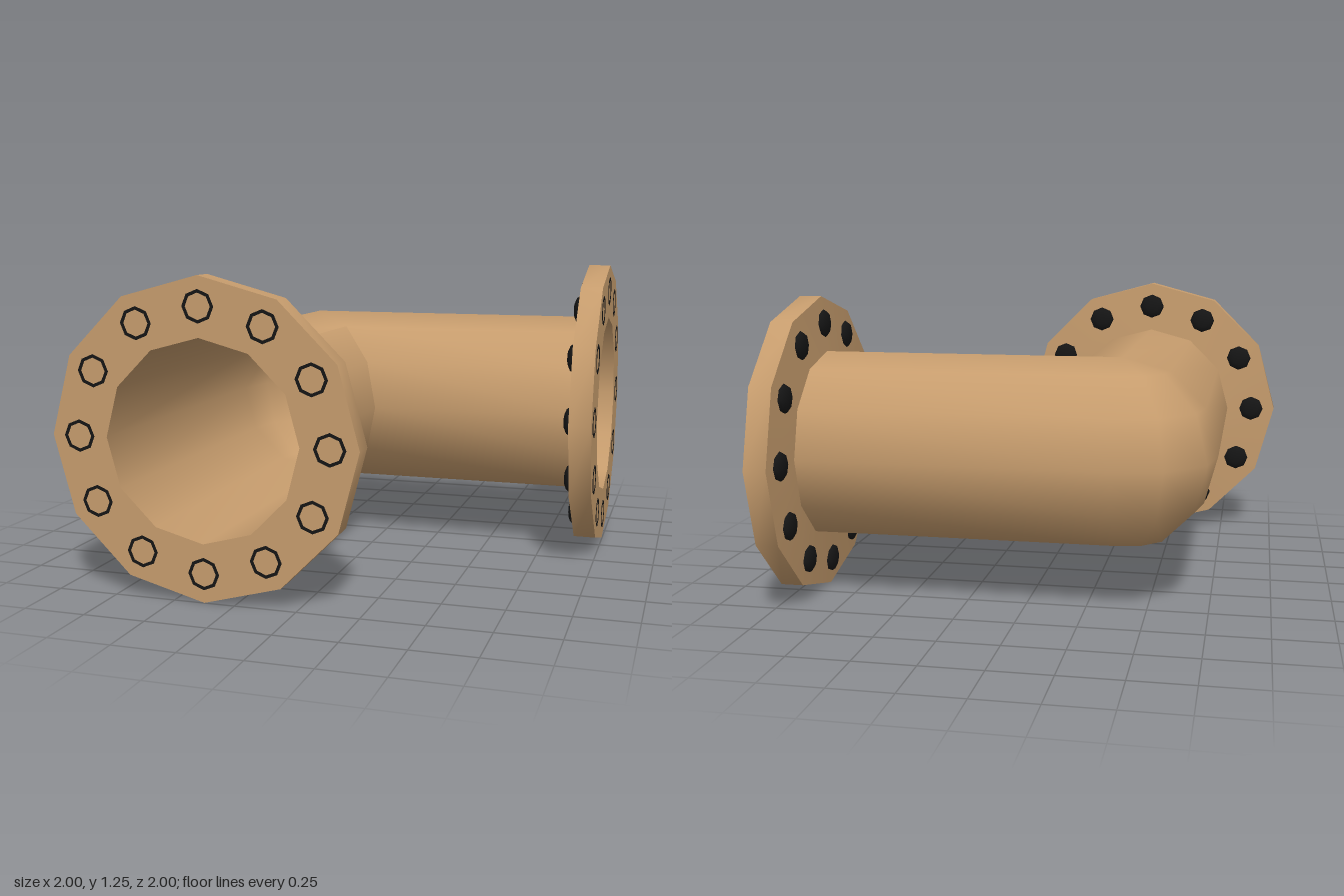
import * as THREE from 'three';
import { toCreasedNormals } from 'three/addons/utils/BufferGeometryUtils.js';

const SIDES = 12;
const PIPE_R = 0.395, FLANGE_R = 0.627, BOLT_CIRCLE = 0.512;
const AXIS = -0.375; // both arms lie this far off centre

const brass = new THREE.MeshStandardMaterial({ color: 0xc69c6d, side: THREE.DoubleSide });
const black = new THREE.MeshStandardMaterial({ color: 0x151515 });

// Elbow pipe: mitred on the inside of the bend, rounded on the outside
function pipeGeometry() {
  const bend = [[1, 0], [0.911, 0.511], [0.511, 0.911], [0, 1]];
  const ring = (place) => Array.from({ length: SIDES + 1 }, (_, i) => {
    const a = (i % SIDES) / SIDES * Math.PI * 2;
    const out = PIPE_R * Math.cos(a);
    const [x, z] = place(out);
    return new THREE.Vector3(x, FLANGE_R + PIPE_R * Math.sin(a), z);
  });
  const rings = [
    ring((out) => [AXIS - out, 0.998]),
    ...bend.map(([a, b]) => ring((out) => (out > 1e-6
      ? [AXIS - out * a, AXIS - out * b]
      : [AXIS - out, AXIS - out]))),
    ring((out) => [0.998, AXIS - out]),
  ];
  const pos = [];
  const tri = (a, b, c) => {
    const area = b.clone().sub(a).cross(c.clone().sub(a)).length();
    if (area > 1e-6) for (const p of [a, b, c]) pos.push(p.x, p.y, p.z);
  };
  for (let s = 0; s < rings.length - 1; s++) {
    for (let i = 0; i < SIDES; i++) {
      const a = rings[s][i], b = rings[s][i + 1];
      const c = rings[s + 1][i + 1], d = rings[s + 1][i];
      tri(a, b, c);
      tri(a, c, d);
    }
  }
  const g = new THREE.BufferGeometry();
  g.setAttribute('position', new THREE.Float32BufferAttribute(pos, 3));
  return toCreasedNormals(g, 0.9);
}

// Geometry turned about y, laid along z
function latheZ(points, sides, crease) {
  const g = new THREE.LatheGeometry(points.map(([r, h]) => new THREE.Vector2(r, h)), sides);
  g.rotateX(Math.PI / 2);
  return toCreasedNormals(g, crease);
}

// Flange with a slightly conical back and a circle of bolts
function makeFlange(name) {
  const group = new THREE.Group();
  group.name = name;
  const plate = new THREE.Mesh(latheZ([
    [PIPE_R, 0.887], [FLANGE_R, 0.905], [FLANGE_R, 0.998], [PIPE_R, 0.998],
  ], SIDES, 0.6), brass);
  plate.name = 'flangePlate';
  group.add(plate);

  const headGeo = new THREE.SphereGeometry(0.06, 8, 6);
  headGeo.rotateX(Math.PI / 2);
  headGeo.scale(1, 1, 0.4);
  const rimGeo = latheZ([[0.064, 0.99], [0.064, 1], [0.051, 1], [0.051, 0.99]], 8, 0.3);
  for (let i = 0; i < SIDES; i++) {
    const a = i / SIDES * Math.PI * 2;
    const x = BOLT_CIRCLE * Math.cos(a), y = BOLT_CIRCLE * Math.sin(a);
    const head = new THREE.Mesh(headGeo, black);
    head.name = 'boltHead';
    head.position.set(x, y, 0.896);
    const rim = new THREE.Mesh(rimGeo, black);
    rim.name = 'boltRim';
    rim.position.set(x, y, 0);
    group.add(head, rim);
  }
  return group;
}

export function createModel() {
  const model = new THREE.Group();
  model.name = 'pipeElbow';

  const pipe = new THREE.Mesh(pipeGeometry(), brass);
  pipe.name = 'pipe';

  const front = makeFlange('frontFlange');
  front.position.set(AXIS, FLANGE_R, 0);

  const left = makeFlange('leftFlange');
  left.rotation.y = Math.PI / 2;
  left.position.set(0, FLANGE_R, AXIS);

  model.add(pipe, front, left);
  return model;
}
